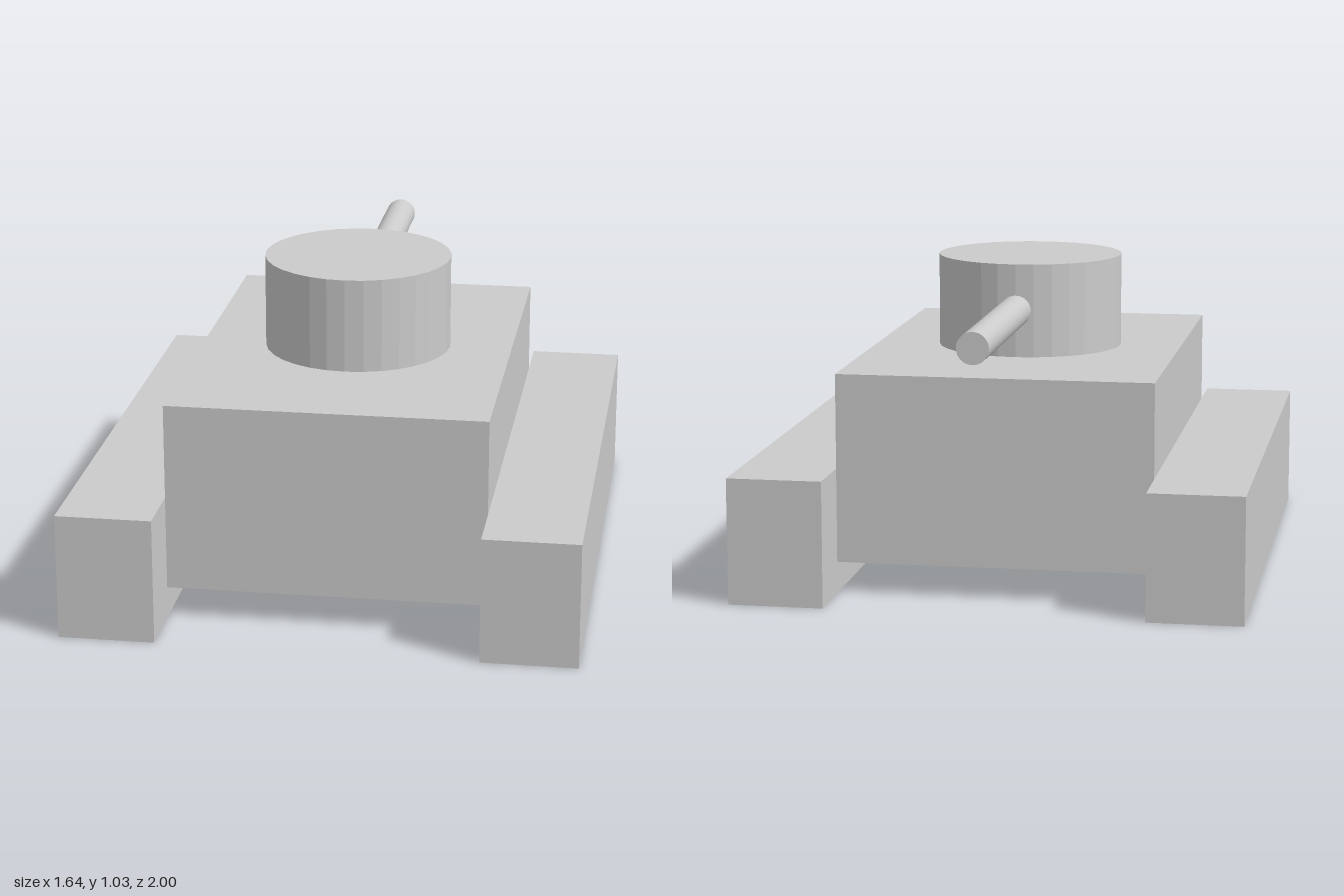
import * as THREE from 'three';

const material = new THREE.MeshStandardMaterial({ color: 0xcccccc, flatShading: true });

function addPart(group, name, geometry, x, y, z) {
  const mesh = new THREE.Mesh(geometry, material);
  mesh.name = name;
  mesh.position.set(x, y, z);
  group.add(mesh);
  return mesh;
}

export function createModel() {
  const model = new THREE.Group();
  model.name = 'tank';

  // Hull, raised between the tracks
  addPart(model, 'hull', new THREE.BoxGeometry(1.026, 0.615, 1.436), 0, 0.41, 0.077);

  // Track blocks, flush against the hull sides
  for (const [name, side] of [['leftTrack', 1], ['rightTrack', -1]]) {
    addPart(model, name, new THREE.BoxGeometry(0.308, 0.41, 1.846), side * 0.667, 0.205, 0.077);
  }

  // Round turret
  addPart(model, 'turret', new THREE.CylinderGeometry(0.308, 0.308, 0.308, 32), 0, 0.872, 0.077);

  // Gun barrel, starting inside the turret and pointing to the back
  const barrel = addPart(model, 'barrel', new THREE.CylinderGeometry(0.051, 0.051, 0.82, 32), 0, 0.872, -0.59);
  barrel.rotation.x = -Math.PI / 2;

  return model;
}
